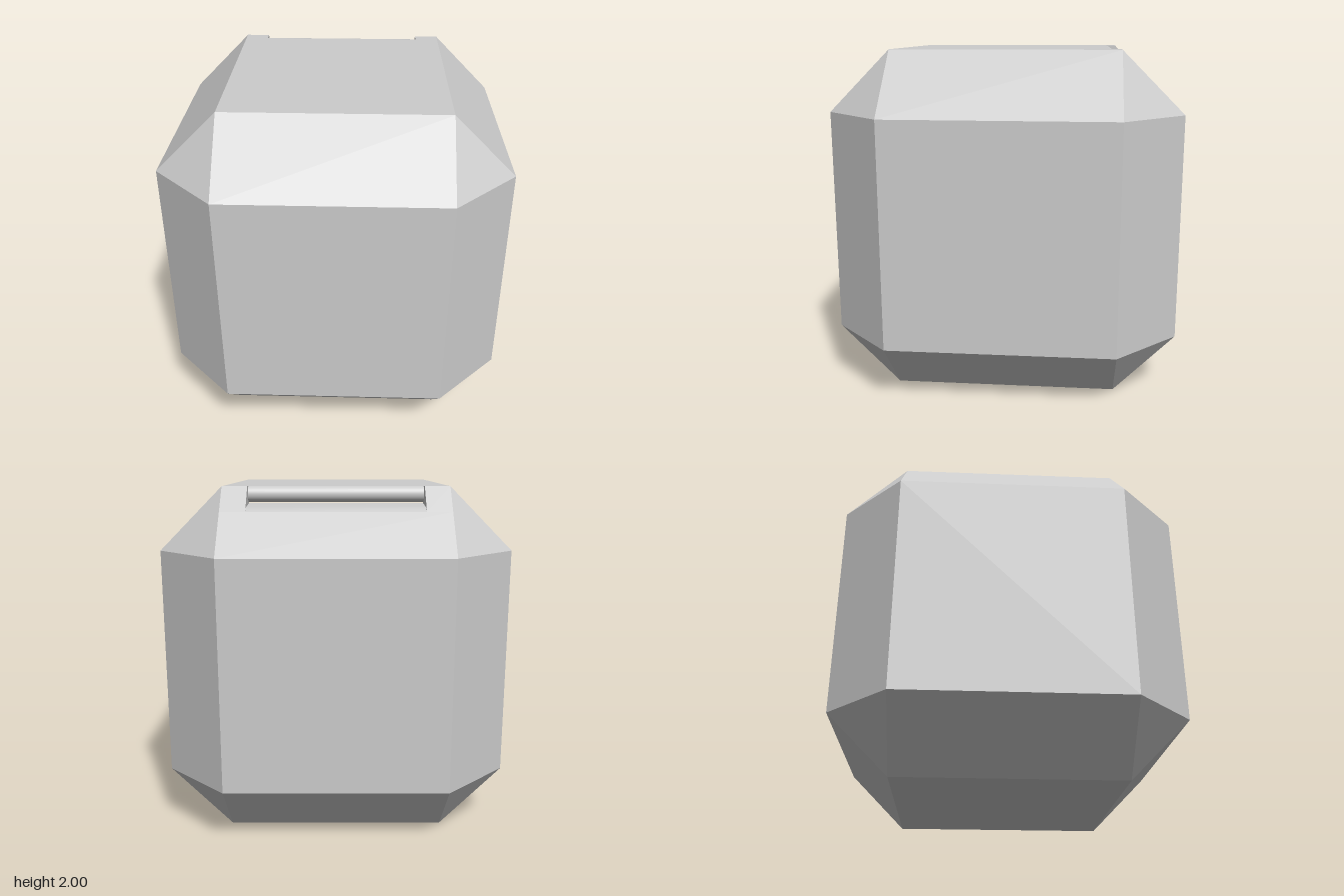
import * as THREE from 'three';

const OUTER = [0.977, 1, 1];          // half extents of the block
const INNER = [0.625, 0.648, 0.648];  // half extents of its flat faces
const SLOT = { x: 0.485, front: -0.58, back: -0.778, low: 1.87 };
const ROD_RADIUS = 0.045;

// corner point lying on the flat face of the given axis
function corner(axis, signs) {
  const p = signs.map((s, i) => s * (i === axis ? OUTER[i] : INNER[i]));
  return new THREE.Vector3(p[0], p[1] + 1, p[2]);
}

// convex polygon as a fan, turned so it faces along `outward`
function addPolygon(out, points, outward) {
  const e1 = points[1].clone().sub(points[0]);
  const e2 = points[2].clone().sub(points[0]);
  const pts = e1.cross(e2).dot(outward) < 0 ? [...points].reverse() : points;
  for (let i = 1; i < pts.length - 1; i++) {
    for (const p of [pts[0], pts[i], pts[i + 1]]) out.push(p.x, p.y, p.z);
  }
}

function bodyGeometry() {
  const out = [];
  const v = (x, y, z) => new THREE.Vector3(x, y, z);
  for (let k = 0; k < 3; k++) {
    const a = (k + 1) % 3, b = (k + 2) % 3;
    const signs = (sk, sa, sb) => {
      const s = [0, 0, 0];
      s[k] = sk; s[a] = sa; s[b] = sb;
      return s;
    };
    // flat faces, except the slotted top
    for (const s of [-1, 1]) {
      if (k === 1 && s === 1) continue;
      const quad = [[1, 1], [-1, 1], [-1, -1], [1, -1]].map(([p, q]) => corner(k, signs(s, p, q)));
      addPolygon(out, quad, v(...signs(s, 0, 0)));
    }
    // edge chamfers, except the slotted top back one
    for (const sa of [-1, 1]) for (const sb of [-1, 1]) {
      if (k === 0 && sa === 1 && sb === -1) continue;
      addPolygon(out, [
        corner(a, signs(1, sa, sb)), corner(a, signs(-1, sa, sb)),
        corner(b, signs(-1, sa, sb)), corner(b, signs(1, sa, sb)),
      ], v(...signs(0, sa, sb)));
    }
  }
  // corner triangles
  for (const x of [-1, 1]) for (const y of [-1, 1]) for (const z of [-1, 1]) {
    addPolygon(out, [0, 1, 2].map((k) => corner(k, [x, y, z])), v(x, y, z));
  }
  // top and back chamfer around the slot
  const [w, low, d] = [INNER[0], 1 + INNER[1], INNER[2]];
  const { x: sx, front, back, low: sy } = SLOT;
  const up = v(0, 1, 0), slope = v(0, 1, -1);
  addPolygon(out, [v(-w, 2, d), v(w, 2, d), v(w, 2, front), v(-w, 2, front)], up);
  addPolygon(out, [v(-w, sy, back), v(w, sy, back), v(w, low, -1), v(-w, low, -1)], slope);
  for (const s of [-1, 1]) {
    addPolygon(out, [v(s * sx, 2, front), v(s * w, 2, front), v(s * w, 2, -d), v(s * sx, 2, -d)], up);
    addPolygon(out, [v(s * sx, 2, -d), v(s * w, 2, -d), v(s * w, sy, back), v(s * sx, sy, back)], slope);
    // slot end walls
    addPolygon(out, [
      v(s * sx, 2, front), v(s * sx, 2, -d), v(s * sx, sy, back), v(s * sx, sy, front),
    ], v(-s, 0, 0));
  }
  const geo = new THREE.BufferGeometry();
  geo.setAttribute('position', new THREE.Float32BufferAttribute(out, 3));
  geo.computeVertexNormals();
  return geo;
}

// smooth floor running from the chamfer in under the rod
function floorGeometry() {
  const profile = [[SLOT.low, SLOT.back], [1.885, -0.755], [1.895, -0.7], [1.905, SLOT.front]];
  const geo = new THREE.PlaneGeometry(2 * SLOT.x, 1, 1, profile.length - 1);
  const pos = geo.attributes.position;
  for (let i = 0; i < pos.count; i++) {
    const [y, z] = profile[Math.floor(i / 2)];
    pos.setXYZ(i, pos.getX(i), y, z);
  }
  geo.computeVertexNormals();
  return geo;
}

export function createModel() {
  const group = new THREE.Group();
  group.name = 'chamferedBlock';
  const material = new THREE.MeshStandardMaterial({ color: 0xcccccc });
  const add = (name, geo, mat = material) => {
    const mesh = new THREE.Mesh(geo, mat);
    mesh.name = name;
    group.add(mesh);
    return mesh;
  };

  add('body', bodyGeometry());

  const thin = material.clone();
  thin.side = THREE.DoubleSide;
  add('slotFloor', floorGeometry(), thin);

  // rounded lip of the top, seen as a rod inside the slot
  const rod = new THREE.CylinderGeometry(
    ROD_RADIUS, ROD_RADIUS, 2 * SLOT.x, 24, 1, true, Math.PI / 2, Math.PI);
  rod.rotateZ(Math.PI / 2);
  add('slotRod', rod).position.set(0, 2 - ROD_RADIUS, SLOT.front);

  return group;
}
